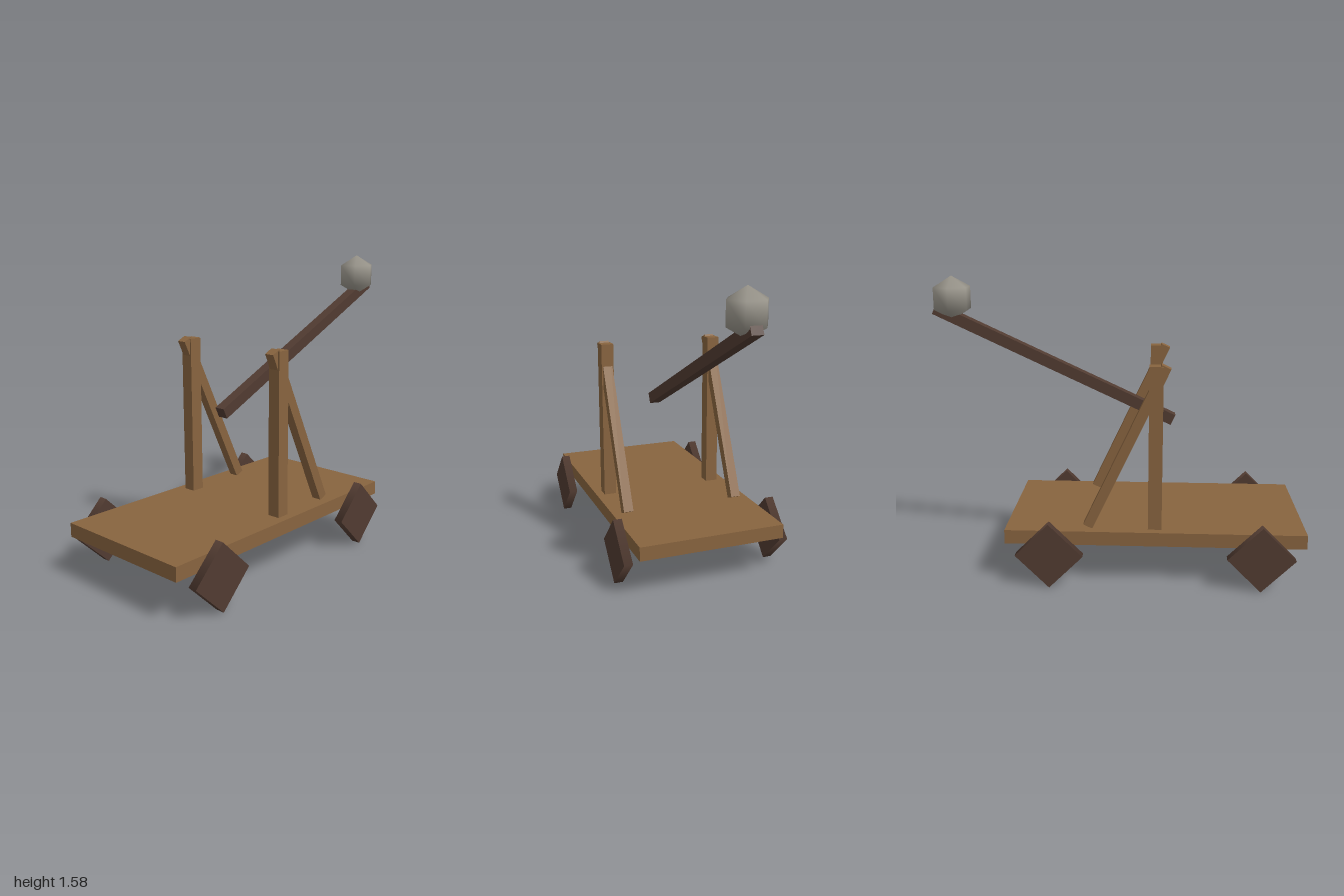
import * as THREE from 'three';

export function createModel() {
  const model = new THREE.Group();
  model.name = 'catapult';

  const material = (name, color) => {
    const m = new THREE.MeshStandardMaterial({ color });
    m.name = name;
    return m;
  };
  const wood = material('wood', 0x88643f);
  const darkWood = material('dark wood', 0x513b31);
  const stone = material('stone', 0x98948a);

  const add = (name, geometry, mat, x, y, z) => {
    const mesh = new THREE.Mesh(geometry, mat);
    mesh.name = name;
    mesh.position.set(x, y, z);
    model.add(mesh);
    return mesh;
  };

  // Square beam between two points in the side plane, given as [y, z]
  const beam = (name, width, x, [y0, z0], [y1, z1], mat) => {
    const length = Math.hypot(y1 - y0, z1 - z0);
    const mesh = add(name, new THREE.BoxGeometry(width, length, width), mat, x, (y0 + y1) / 2, (z0 + z1) / 2);
    mesh.rotation.x = Math.atan2(z1 - z0, y1 - y0);
  };

  // Flat cart bed
  add('platform', new THREE.BoxGeometry(0.79, 0.075, 1.58), wood, 0, 0.258, 0.21);

  // Four-sided wheels standing on their corners
  const wheel = new THREE.CylinderGeometry(0.177, 0.177, 0.047, 4).rotateZ(Math.PI / 2);

  for (const [side, s] of [['left', 1], ['right', -1]]) {
    add(side + 'FrontWheel', wheel, darkWood, s * 0.433, 0.179, 0.762);
    add(side + 'BackWheel', wheel, darkWood, s * 0.433, 0.179, -0.341);

    // Upright with its diagonal brace
    add(side + 'Post', new THREE.BoxGeometry(0.068, 0.87, 0.072), wood, s * 0.316, 0.73, 0.209);
    beam(side + 'Brace', 0.053, s * 0.316, [0.303, -0.144], [1.163, 0.259], wood);
  }

  // Throwing arm and its stone
  beam('throwingArm', 0.06, 0, [0.807, 0.301], [1.407, -0.987], darkWood);
  add('stoneBall', new THREE.SphereGeometry(0.118, 6, 3), stone, 0, 1.463, -0.893);

  return model;
}
